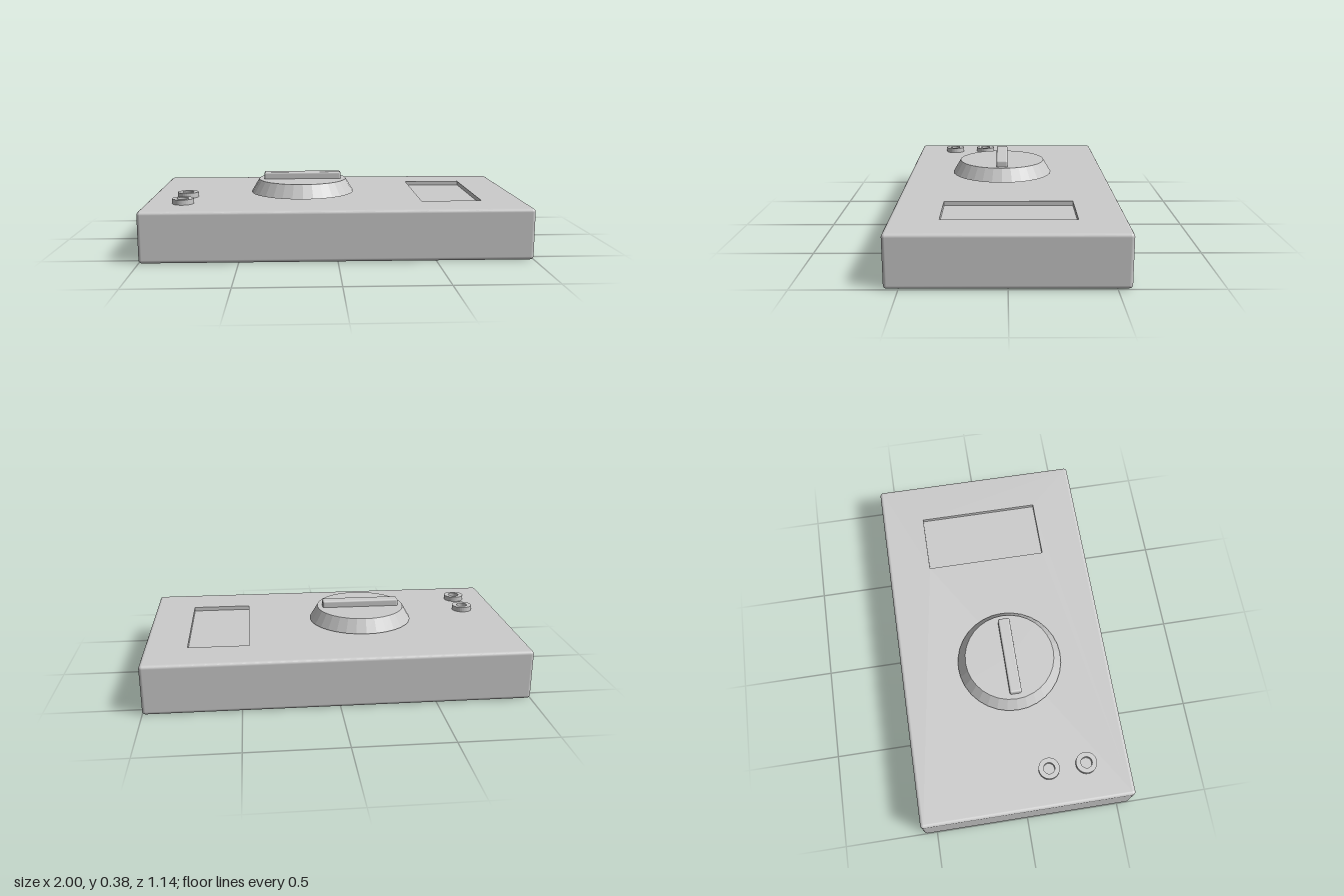
import * as THREE from 'three';
import { RoundedBoxGeometry } from 'three/addons/geometries/RoundedBoxGeometry.js';

const W = 2, H = 0.265, D = 1.14, R = 0.018;
const grey = new THREE.MeshStandardMaterial({ color: 0xcccccc });
const faceted = new THREE.MeshStandardMaterial({ color: 0xcccccc, flatShading: true });

function add(parent, name, geometry, x, y, z, material = grey) {
  const mesh = new THREE.Mesh(geometry, material);
  mesh.name = name;
  mesh.position.set(x, y, z);
  parent.add(mesh);
  return mesh;
}

// Rounded case with its flat top removed, so a recess can be cut there
function openCase() {
  const geo = new RoundedBoxGeometry(W, H, D, 4, R);
  const pos = geo.attributes.position, nor = geo.attributes.normal;
  const p = [], n = [];
  for (let i = 0; i < pos.count; i += 3) {
    const onTop = [0, 1, 2].every(k => pos.getY(i + k) > H / 2 - 1e-5);
    if (onTop) continue;
    for (let k = 0; k < 3; k++) {
      p.push(pos.getX(i + k), pos.getY(i + k), pos.getZ(i + k));
      n.push(nor.getX(i + k), nor.getY(i + k), nor.getZ(i + k));
    }
  }
  const out = new THREE.BufferGeometry();
  out.setAttribute('position', new THREE.Float32BufferAttribute(p, 3));
  out.setAttribute('normal', new THREE.Float32BufferAttribute(n, 3));
  return out;
}

function rectangle(Type, x0, x1, z0, z1) {
  const path = new Type();
  path.moveTo(x0, -z0).lineTo(x1, -z0).lineTo(x1, -z1).lineTo(x0, -z1).closePath();
  return path;
}

export function createModel() {
  const model = new THREE.Group();

  // Case and top panel with a rectangular opening
  const win = { x0: 0.455, x1: 0.775, z0: -0.335, z1: 0.325, depth: 0.022 };
  add(model, 'case', openCase(), 0, H / 2, 0);
  const panel = rectangle(THREE.Shape, -W / 2 + R, W / 2 - R, -D / 2 + R, D / 2 - R);
  panel.holes.push(rectangle(THREE.Path, win.x0, win.x1, win.z0, win.z1));
  add(model, 'topPanel', new THREE.ShapeGeometry(panel).rotateX(-Math.PI / 2), 0, H, 0);

  // Recessed display: an inward-facing box without its lid
  const w = win.x1 - win.x0, d = win.z1 - win.z0;
  const recess = new THREE.BoxGeometry(w, win.depth, d);
  const index = Array.from(recess.index.array);
  index.splice(12, 6);
  recess.setIndex(index.reverse());
  const normals = recess.attributes.normal.array;
  for (let i = 0; i < normals.length; i++) normals[i] *= -1;
  add(model, 'displayRecess', recess,
    (win.x0 + win.x1) / 2, H - win.depth / 2, (win.z0 + win.z1) / 2);

  // Selector dial, hovering just clear of the panel, with its grip bar
  const dial = new THREE.Group();
  dial.name = 'dial';
  dial.position.set(-0.175, 0.276, 0.029);
  add(dial, 'dialKnob', new THREE.CylinderGeometry(0.242, 0.285, 0.072, 32), 0, 0.036, 0, faceted);
  add(dial, 'dialGrip', new RoundedBoxGeometry(0.426, 0.065, 0.064, 3, 0.01), 0, 0.0765, 0);
  model.add(dial);

  // Ring-shaped sockets
  const ring = [[0.03, 0], [0.056, 0], [0.056, 0.027], [0.03, 0.027], [0.03, 0]]
    .map(([r, y]) => new THREE.Vector2(r, y));
  for (const z of [0.14, 0.34]) {
    add(model, 'socketRing', new THREE.LatheGeometry(ring, 32), -0.8, H, z, faceted);
  }

  return model;
}
